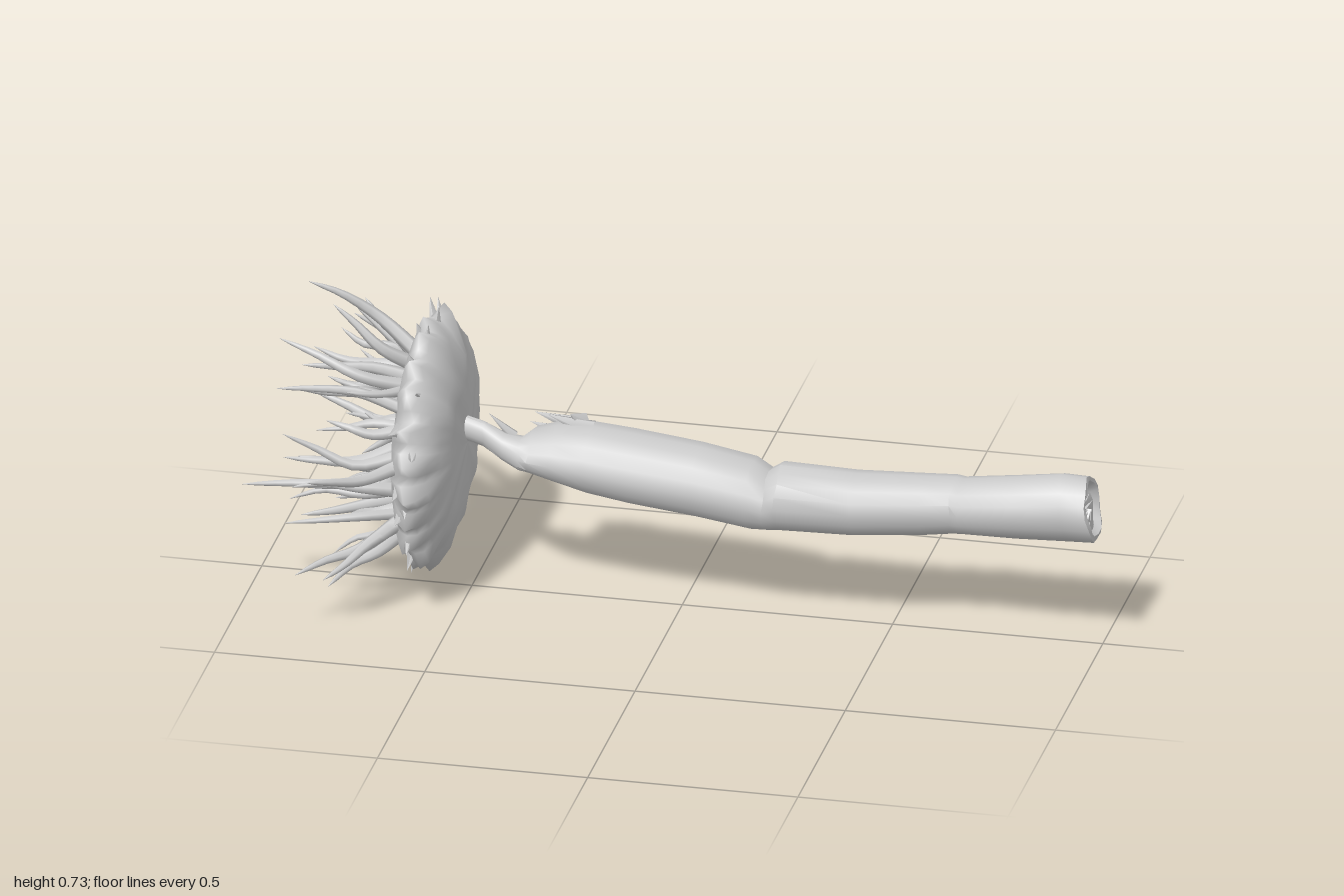
import * as THREE from 'three';
import { mergeVertices, toCreasedNormals } from 'three/addons/utils/BufferGeometryUtils.js';

const material = new THREE.MeshStandardMaterial({ color: 0xcccccc, side: THREE.DoubleSide });
const HEAD_Y = 0.365;

function seeded(seed) {
  return () => {
    seed = (seed * 16807) % 2147483647;
    return seed / 2147483647;
  };
}

function addMesh(parent, name, geometry) {
  const mesh = new THREE.Mesh(geometry, material);
  mesh.name = name;
  parent.add(mesh);
}

// Close the seam of a wrapped geometry and shade it afresh
function weld(geometry) {
  geometry.deleteAttribute('uv');
  geometry.deleteAttribute('normal');
  const welded = mergeVertices(geometry, 1e-5);
  welded.computeVertexNormals();
  return welded;
}

// Sleeve along x through stations [x, yLow, yHigh, zLow, zHigh]
function sleeve(stations, sides, wobble) {
  const rows = stations.length - 1;
  const g = new THREE.CylinderGeometry(1, 1, 1, sides, rows, true).rotateZ(-Math.PI / 2);
  const p = g.attributes.position;
  for (let i = 0; i < p.count; i++) {
    const row = Math.round((p.getX(i) + 0.5) * rows);
    const [x, y0, y1, z0, z1] = stations[row];
    const a = Math.atan2(p.getZ(i), p.getY(i));
    const k = 1 + wobble * Math.sin(3 * a + row * 0.4) + wobble * Math.sin(5 * a - row * 0.3);
    // The cut end leans, its lower edge reaching furthest
    const lean = x > 0.9 ? -0.012 * p.getY(i) : 0;
    p.setXYZ(i, x + lean + 0.2 * wobble * Math.sin(4 * a + row),
      (y0 + y1) / 2 + k * p.getY(i) * (y1 - y0) / 2,
      (z0 + z1) / 2 + k * p.getZ(i) * (z1 - z0) / 2);
  }
  return toCreasedNormals(weld(g), 0.7);
}

// Tapered curved tentacle, pointed at its tip
function tentacle(points, radius) {
  const curve = new THREE.CatmullRomCurve3(points);
  const rows = 10, sides = 6;
  const g = new THREE.TubeGeometry(curve, rows, radius, sides, false);
  const p = g.attributes.position, v = new THREE.Vector3();
  for (let i = 0; i < p.count; i++) {
    const t = Math.floor(i / (sides + 1)) / rows;
    const c = curve.getPointAt(t);
    const taper = 0.03 + 0.97 * Math.pow(1 - t, 0.6);
    v.fromBufferAttribute(p, i).sub(c).multiplyScalar(taper).add(c);
    p.setXYZ(i, v.x, v.y, v.z);
  }
  return weld(g);
}

// Pointed shard from one point to another
function shard(from, to, radius) {
  const dir = to.clone().sub(from);
  const g = new THREE.ConeGeometry(radius, dir.length(), 5, 1, true);
  g.translate(0, dir.length() / 2, 0);
  g.applyQuaternion(new THREE.Quaternion().setFromUnitVectors(new THREE.Vector3(0, 1, 0), dir.normalize()));
  return g.translate(from.x, from.y, from.z);
}

const polar = (x, r, a) => new THREE.Vector3(x, HEAD_Y + r * Math.cos(a), r * Math.sin(a));

function createStem() {
  const stem = new THREE.Group();
  stem.name = 'stem';
  // Thin neck, torn shoulder, nicked joints and a shallow cut end
  addMesh(stem, 'stemBody', sleeve([
    [-0.53, 0.375, 0.435, -0.025, 0.02],
    [-0.47, 0.36, 0.42, -0.022, 0.025],
    [-0.42, 0.335, 0.4, -0.02, 0.048],
    [-0.38, 0.315, 0.395, -0.03, 0.062],
    [-0.355, 0.305, 0.405, -0.095, 0.07],
    [-0.3, 0.287, 0.42, -0.107, 0.078],
    [-0.22, 0.265, 0.427, -0.112, 0.085],
    [-0.12, 0.25, 0.42, -0.11, 0.09],
    [0.04, 0.235, 0.405, -0.1, 0.095],
    [0.17, 0.222, 0.388, -0.085, 0.105],
    [0.21, 0.225, 0.367, -0.072, 0.1],
    [0.24, 0.23, 0.388, -0.07, 0.108],
    [0.42, 0.235, 0.385, -0.065, 0.105],
    [0.58, 0.245, 0.387, -0.075, 0.085],
    [0.65, 0.255, 0.39, -0.076, 0.08],
    [0.67, 0.26, 0.39, -0.07, 0.088],
    [0.8, 0.265, 0.412, -0.06, 0.097],
    [0.92, 0.272, 0.43, -0.052, 0.1],
    [0.982, 0.275, 0.43, -0.045, 0.1],
    [0.984, 0.29, 0.42, -0.035, 0.09],
    [0.968, 0.3, 0.405, -0.025, 0.08],
    [0.965, 0.352, 0.352, 0.028, 0.028],
  ], 16, 0.015));

  // Torn fibres round the neck: start, end, width
  const fibres = [
    [-0.4, 0.39, 0.0, -0.46, 0.445, 0.005, 0.014],
    [-0.22, 0.41, -0.03, -0.33, 0.44, -0.03, 0.025],
    [-0.25, 0.42, -0.05, -0.27, 0.452, -0.015, 0.022],
    [-0.25, 0.36, -0.085, -0.385, 0.385, -0.1, 0.03],
    [-0.26, 0.4, -0.07, -0.37, 0.42, -0.08, 0.025],
    [-0.28, 0.32, -0.08, -0.37, 0.34, -0.09, 0.025],
    [-0.38, 0.37, 0.02, -0.52, 0.4, -0.02, 0.02],
    [0.64, 0.32, -0.07, 0.69, 0.33, -0.085, 0.012],
  ];
  for (const [x0, y0, z0, x1, y1, z1, w] of fibres)
    addMesh(stem, 'tornFibre', shard(new THREE.Vector3(x0, y0, z0), new THREE.Vector3(x1, y1, z1), w));
  return stem;
}

function createDisc() {
  const disc = new THREE.Group();
  disc.name = 'flowerDisc';
  const rand = seeded(41);
  // Profile [radius, x] from the domed tentacle side to the stem side
  const profile = [[0.0001, -0.66], [0.09, -0.66], [0.16, -0.655], [0.21, -0.645], [0.25, -0.632], [0.28, -0.615],
    [0.296, -0.598], [0.285, -0.575], [0.255, -0.55], [0.205, -0.528], [0.15, -0.516], [0.08, -0.511], [0.0001, -0.51]];
  const sides = 69;
  const g = new THREE.LatheGeometry(profile.map(([r, x]) => new THREE.Vector2(r, x)), sides).rotateZ(-Math.PI / 2);
  // Uneven jagged rim: every third spoke is a point, leaning to either face
  const jag = Array.from({ length: sides }, (_, i) => (i % 3 === 0 ? 0.06 : -0.035) + 0.06 * (rand() - 0.5));
  const tilt = Array.from({ length: sides }, () => 0.035 * (rand() - 0.5));
  const p = g.attributes.position;
  for (let i = 0; i < p.count; i++) {
    const y = p.getY(i), z = p.getZ(i), a = Math.atan2(z, y), r = Math.hypot(y, z);
    const spoke = Math.round((a / (2 * Math.PI) + 1) * sides) % sides;
    const edge = Math.pow(r / 0.296, 9);
    const k = 1 + edge * (jag[spoke] + 0.02 * Math.sin(4 * a + 1));
    const bump = 0.005 * Math.sin(y * 50 + 1) * Math.sin(z * 46) + edge * tilt[spoke];
    p.setXYZ(i, p.getX(i) + bump, HEAD_Y + y * k, z * k);
  }
  addMesh(disc, 'discBody', weld(g));

  // Ragged rim scales lying along the edge
  const scales = 26;
  for (let i = 0; i < scales; i++) {
    const a = ((i + 0.8 * rand()) / scales) * Math.PI * 2;
    const x = -0.59 - 0.025 * rand();
    const tip = polar(x - 0.03 + 0.05 * rand(), 0.295 + 0.035 * rand(), a + 0.2 * (rand() - 0.5));
    addMesh(disc, 'rimScale', shard(polar(x, 0.225, a), tip, 0.026));
  }
  return disc;
}

function createTentacles() {
  const tentacles = new THREE.Group();
  tentacles.name = 'tentacles';
  const rand = seeded(7);
  // Leaves the disc, bows sideways and hooks back towards its tip
  const grow = (rBase, a, tip, width) => {
    const base = polar(-0.625, rBase, a);
    const bow = (rand() - 0.5) * 0.08;
    const side = new THREE.Vector3(0, -Math.sin(a), Math.cos(a));
    const out = new THREE.Vector3(0, Math.cos(a), Math.sin(a));
    const near = base.clone().lerp(tip, 0.35).addScaledVector(side, bow).addScaledVector(out, 0.01);
    const far = base.clone().lerp(tip, 0.72).addScaledVector(side, bow * 0.5).addScaledVector(out, 0.03 * (rand() - 0.5));
    near.x -= 0.01;
    addMesh(tentacles, 'tentacle', tentacle([base, near, far, tip], width));
  };

  // Longest tentacles, by tip
  const tips = [[-0.89, 0.73, -0.01], [-0.77, 0.0, -0.07], [-0.8, 0.41, 0.41], [-0.9, 0.35, -0.41],
    [-0.87, 0.48, -0.4], [-0.83, 0.22, -0.37], [-0.84, 0.15, 0.36], [-0.78, 0.13, 0.33], [-0.8, 0.05, 0.19],
    [-1.0, 0.3, 0.21], [-0.94, 0.62, 0.08], [-0.86, 0.11, -0.25], [-0.82, 0.7, 0.04], [-0.8, 0.64, -0.1]];
  for (const [x, y, z] of tips) {
    const a = Math.atan2(z, y - HEAD_Y);
    grow(0.57 * Math.hypot(y - HEAD_Y, z), a, new THREE.Vector3(x, y, z), 0.019);
  }

  // Spiral field filling the face of the disc
  const count = 38;
  for (let i = 0; i < count; i++) {
    const a = i * 2.39996;
    const r = 0.03 + 0.17 * Math.sqrt(i / count);
    const tip = polar(-0.93 + 0.19 * rand(), r * (1.15 + 0.5 * rand()), a + (rand() - 0.5) * 0.7);
    grow(r, a, tip, 0.015 + 0.006 * rand());
  }
  return tentacles;
}

export function createModel() {
  const model = new THREE.Group();
  model.name = 'thistleStalk';
  model.add(createStem(), createDisc(), createTentacles());
  return model;
}
